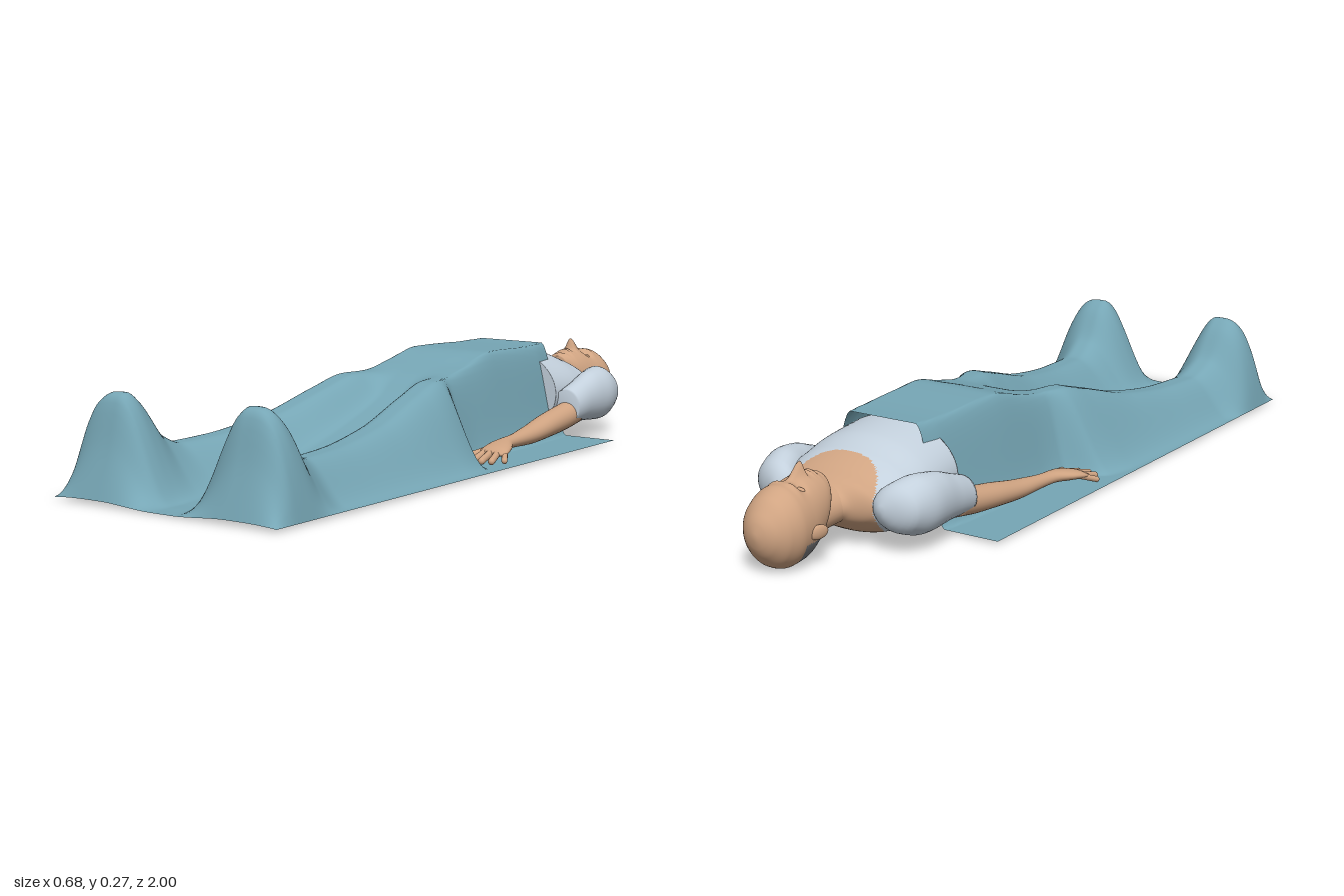
import * as THREE from 'three';

const mat = (name, color, extra = {}) =>
  Object.assign(new THREE.MeshStandardMaterial({ color, ...extra }), { name });

// Smooth monotone interpolation of column k in rows sorted by column 0
function sample(rows, t, k) {
  const n = rows.length;
  if (t <= rows[0][0]) return rows[0][k];
  if (t >= rows[n - 1][0]) return rows[n - 1][k];
  let i = 0;
  while (t > rows[i + 1][0]) i++;
  const sec = j => (rows[j + 1][k] - rows[j][k]) / (rows[j + 1][0] - rows[j][0]);
  const slope = j => {
    if (j === 0) return sec(0);
    if (j === n - 1) return sec(n - 2);
    const a = sec(j - 1), b = sec(j);
    return a * b <= 0 ? 0 : (2 * a * b) / (a + b);
  };
  const h = rows[i + 1][0] - rows[i][0], u = (t - rows[i][0]) / h;
  const u2 = u * u, u3 = u2 * u;
  return rows[i][k] * (2 * u3 - 3 * u2 + 1) + slope(i) * h * (u3 - 2 * u2 + u)
    + rows[i + 1][k] * (3 * u2 - 2 * u3) + slope(i + 1) * h * (u3 - u2);
}

// Elliptical rings along z; rows are [z, centreX, centreY, radiusX, radiusY]
function loft(rows, side = 1, rings = 32, segs = 32) {
  const pos = [], index = [];
  const z0 = rows[0][0], z1 = rows[rows.length - 1][0];
  for (let i = -1; i <= rings + 1; i++) {
    const z = z0 + (z1 - z0) * THREE.MathUtils.clamp(i / rings, 0, 1);
    const s = i < 0 || i > rings ? 0.001 : 1;
    const [cx, cy, rx, ry] = [1, 2, 3, 4].map(k => sample(rows, z, k));
    for (let j = 0; j < segs; j++) {
      const a = (j / segs) * Math.PI * 2;
      pos.push(side * cx + Math.cos(a) * rx * s, cy + Math.sin(a) * ry * s, z);
    }
  }
  for (let i = 0; i < rings + 2; i++) {
    for (let j = 0; j < segs; j++) {
      const k = (j + 1) % segs, a = i * segs, b = a + segs;
      index.push(a + j, a + k, b + k, a + j, b + k, b + j);
    }
  }
  const g = new THREE.BufferGeometry();
  g.setAttribute('position', new THREE.Float32BufferAttribute(pos, 3));
  g.setIndex(index);
  g.computeVertexNormals();
  return g;
}

// Sort faces into two material groups by a rule on the face centre
function paint(g, rule) {
  const p = g.attributes.position, ix = g.index.array, sets = [[], []];
  for (let f = 0; f < ix.length; f += 3) {
    const t = [ix[f], ix[f + 1], ix[f + 2]];
    const mid = get => t.reduce((s, v) => s + get(v), 0) / 3;
    const second = rule(mid(v => p.getX(v)), mid(v => p.getY(v)), mid(v => p.getZ(v)));
    sets[second ? 1 : 0].push(...t);
  }
  g.setIndex([...sets[0], ...sets[1]]);
  g.addGroup(0, sets[0].length, 0);
  g.addGroup(sets[0].length, sets[1].length, 1);
  return g;
}

// Blanket along z: [z, crest height, ridge x, outer reach, centre height]
const drape = [
  [-0.5, 0.265, 0.09, 0.185, 0.265], [-0.43, 0.264, 0.1, 0.195, 0.264],
  [-0.2, 0.27, 0.11, 0.205, 0.27], [-0.06, 0.24, 0.12, 0.205, 0.24],
  [0.03, 0.225, 0.125, 0.215, 0.215], [0.1, 0.224, 0.13, 0.31, 0.17],
  [0.2, 0.2, 0.14, 0.33, 0.13], [0.4, 0.145, 0.165, 0.335, 0.07],
  [0.6, 0.12, 0.185, 0.335, 0.03], [0.72, 0.117, 0.195, 0.335, 0.012],
  [0.8, 0.15, 0.205, 0.34, 0.008], [0.87, 0.24, 0.21, 0.34, 0.006],
  [0.9, 0.26, 0.21, 0.34, 0.005], [0.925, 0.25, 0.21, 0.34, 0.005],
  [0.96, 0.13, 0.21, 0.34, 0.004], [1, 0.012, 0.21, 0.34, 0.003],
];
const step = THREE.MathUtils.smoothstep;

function blanketHeight(x, z) {
  const [crest, ridge, reach, mid] = [1, 2, 3, 4].map(k => sample(drape, z, k));
  const ax = Math.abs(x), base = 0.007;
  if (ax < ridge) return mid + (crest - mid) * step(ax, 0.03, ridge - 0.015);
  const t = Math.min(1, (ax - ridge) / (reach - ridge));
  // Feet tent the cloth steeply, legs let it fall softly
  const foot = step(z, 0.72, 0.88);
  const fall = (1 - step(t, 0.1, 1)) * (1 - foot) + (1 - t ** 2.7) * foot;
  return base + (crest - base) * fall;
}

const bell = (d, w) => Math.exp(-(d * d) / (w * w));

export function createModel() {
  const root = new THREE.Group();
  const skin = mat('skin', 0xd0a482);
  const shirt = mat('pale shirt', 0xc3d0dc, { side: THREE.DoubleSide });
  const cloth = mat('teal blanket', 0x76a6b5, { side: THREE.DoubleSide });
  const grey = mat('grey hair', 0x7c7c7e);
  const add = (name, geo, material, parent = root) => {
    const m = new THREE.Mesh(geo, material);
    m.name = name;
    parent.add(m);
    return m;
  };

  // Blanket draped over torso, legs and feet
  const sheet = new THREE.PlaneGeometry(0.68, 1.5, 100, 200).rotateX(-Math.PI / 2).translate(0, 0, 0.25);
  const sp = sheet.attributes.position;
  for (let i = 0; i < sp.count; i++) sp.setY(i, blanketHeight(sp.getX(i), sp.getZ(i)));
  sheet.computeVertexNormals();
  add('blanket', sheet, cloth);

  // Upper torso: shirt with a scooped neckline front and back
  const torso = loft([
    [-0.76, 0, 0.105, 0.05, 0.04], [-0.735, 0, 0.108, 0.07, 0.045],
    [-0.71, 0, 0.11, 0.135, 0.058], [-0.68, 0, 0.11, 0.175, 0.078],
    [-0.62, 0, 0.112, 0.19, 0.105], [-0.55, 0, 0.122, 0.19, 0.118],
    [-0.44, 0, 0.13, 0.185, 0.126],
  ], 1, 90, 96);
  paint(torso, (x, y, z) => Math.abs(x / 0.128) ** 2.6 + Math.abs((z + 0.75) / (y > 0.1 ? 0.118 : 0.15)) ** 2.6 < 1);
  add('shirtTorso', torso, [shirt, skin]);

  add('neck', loft([
    [-0.86, 0, 0.085, 0.05, 0.045], [-0.78, 0, 0.1, 0.055, 0.05], [-0.7, 0, 0.11, 0.07, 0.05],
  ]), skin);

  // Head facing upwards, with sockets, nose, lips and chin modelled in
  const head = loft([
    [-1, 0, 0.1, 0.008, 0.01], [-0.994, 0, 0.1, 0.028, 0.032], [-0.98, 0, 0.099, 0.05, 0.056],
    [-0.95, 0, 0.099, 0.073, 0.086], [-0.91, 0, 0.101, 0.083, 0.101],
    [-0.87, 0, 0.103, 0.08, 0.1], [-0.83, 0, 0.114, 0.073, 0.093],
    [-0.8, 0, 0.13, 0.065, 0.076], [-0.775, 0, 0.153, 0.05, 0.05],
    [-0.757, 0, 0.175, 0.024, 0.018],
  ], 1, 90, 96);
  const hp = head.attributes.position;
  for (let i = 0; i < hp.count; i++) {
    const x = hp.getX(i), y = hp.getY(i), z = hp.getZ(i);
    if (y < 0.13) continue;
    const along = step(z, -0.88, -0.828) * (1 - step(z, -0.828, -0.815));
    const lift = 0.033 * along * bell(x, 0.007 + 0.007 * along)
      - 0.011 * bell(Math.abs(x) - 0.03, 0.014) * bell(z + 0.868, 0.011)
      + 0.005 * bell(Math.abs(x) - 0.028, 0.02) * bell(z + 0.89, 0.008)
      + 0.006 * bell(x, 0.02) * (bell(z + 0.805, 0.004) + bell(z + 0.794, 0.004))
      - 0.004 * bell(x, 0.03) * bell(z + 0.782, 0.006);
    hp.setY(i, y + lift);
  }
  head.computeVertexNormals();
  paint(head, (x, y, z) => y < 0.066 && Math.abs(x) > 0.04 && z > -0.905 && z < -0.815);
  add('head', head, [skin, grey]);

  for (const side of [1, -1]) {
    const label = side > 0 ? 'left' : 'right';
    const arm = new THREE.Group();
    arm.name = label + 'Arm';
    root.add(arm);

    // Ear and closed eyelid
    const ear = add(label + 'Ear', new THREE.SphereGeometry(1, 20, 14), skin);
    ear.scale.set(0.008, 0.018, 0.029);
    ear.position.set(side * 0.082, 0.09, -0.868);
    ear.rotation.y = side * 0.25;
    const lid = add(label + 'Eyelid', new THREE.SphereGeometry(1, 16, 12), skin);
    lid.scale.set(0.014, 0.007, 0.008);
    lid.position.set(side * 0.03, 0.183, -0.867);

    add(label + 'Sleeve', loft([
      [-0.728, 0.16, 0.115, 0.012, 0.015], [-0.715, 0.17, 0.115, 0.045, 0.042],
      [-0.69, 0.182, 0.115, 0.062, 0.062], [-0.64, 0.198, 0.115, 0.062, 0.075],
      [-0.58, 0.208, 0.114, 0.052, 0.07], [-0.52, 0.21, 0.106, 0.045, 0.058],
      [-0.455, 0.207, 0.092, 0.044, 0.05],
    ], side), shirt, arm);

    add(label + 'Forearm', loft([
      [-0.5, 0.208, 0.08, 0.036, 0.036], [-0.42, 0.21, 0.067, 0.037, 0.035],
      [-0.34, 0.215, 0.058, 0.036, 0.032], [-0.22, 0.226, 0.046, 0.028, 0.024],
      [-0.13, 0.237, 0.044, 0.02, 0.017], [-0.1, 0.24, 0.044, 0.022, 0.016],
      [-0.05, 0.25, 0.04, 0.038, 0.015], [-0.01, 0.258, 0.034, 0.042, 0.012],
      [0.005, 0.26, 0.031, 0.036, 0.007],
    ], side), skin, arm);

    // Thumb and fingers: [x, z at root, x, z at tip, radius]
    const digits = [
      [0.225, -0.07, 0.196, 0.028, 0.0105], [0.232, -0.02, 0.235, 0.046, 0.0095],
      [0.25, -0.015, 0.262, 0.055, 0.0095], [0.27, -0.015, 0.287, 0.046, 0.009],
      [0.283, -0.025, 0.309, 0.018, 0.008],
    ];
    digits.forEach(([xa, za, xb, zb, r], i) => {
      const a = new THREE.Vector3(side * xa, 0.035, za), b = new THREE.Vector3(side * xb, 0.019, zb);
      const d = b.clone().sub(a);
      const finger = add(i ? label + 'Finger' + i : label + 'Thumb',
        new THREE.CapsuleGeometry(r, d.length(), 6, 12), skin, arm);
      finger.position.copy(a).add(b).multiplyScalar(0.5);
      finger.quaternion.setFromUnitVectors(new THREE.Vector3(0, 1, 0), d.normalize());
    });
  }
  return root;
}
